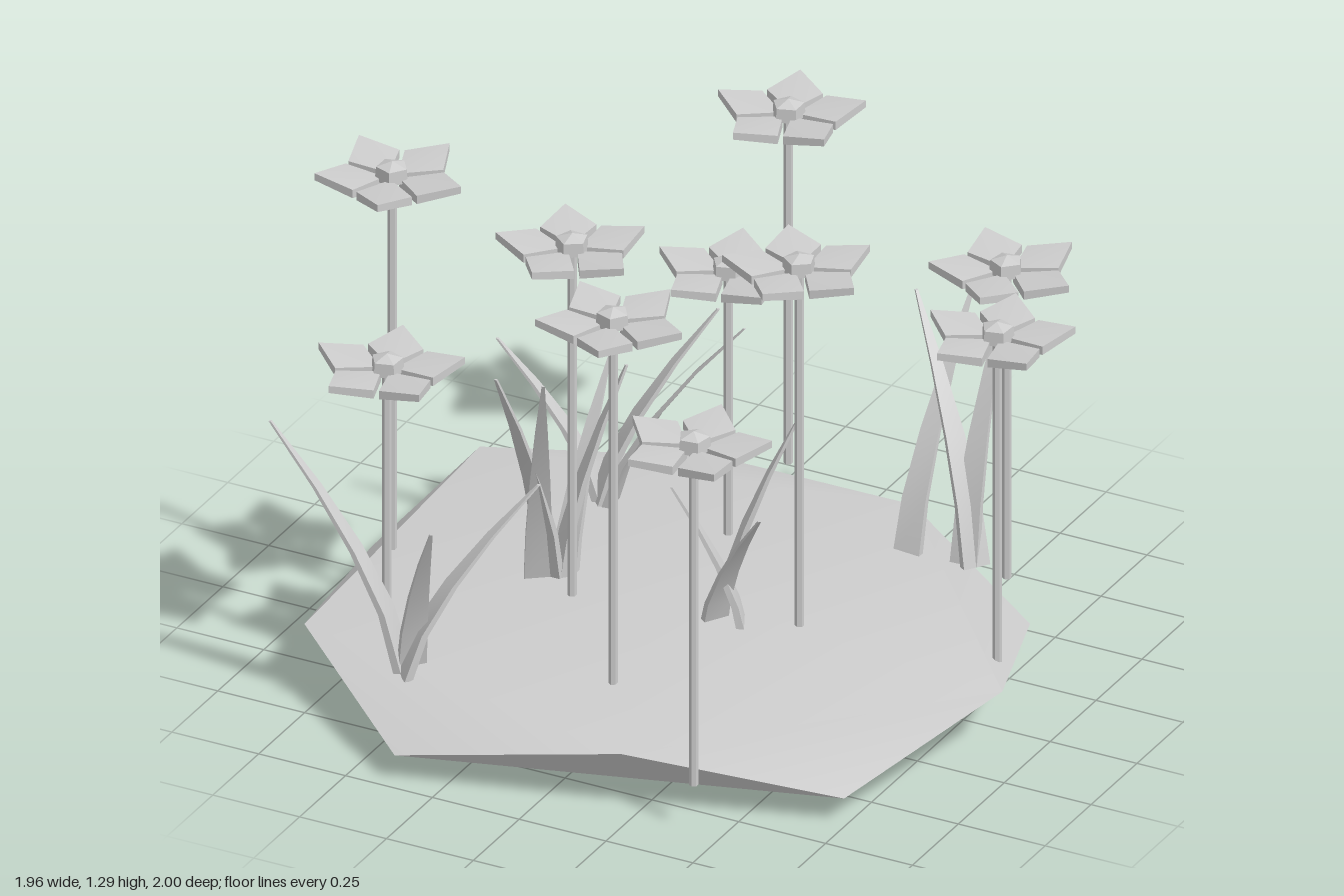
import * as THREE from 'three';
import { toCreasedNormals } from 'three/addons/utils/BufferGeometryUtils.js';
import { ConvexGeometry } from 'three/addons/geometries/ConvexGeometry.js';

const grey = new THREE.MeshStandardMaterial({ color: 0xcccccc });
grey.name = 'grey';

function part(name, geometry, crease = 0.3) {
  const mesh = new THREE.Mesh(toCreasedNormals(geometry, crease), grey);
  mesh.name = name;
  return mesh;
}

// Squashed faceted mound: two staggered rings of five corners and two poles
function mound() {
  const high = [[-0.83, 0.6], [0.21, 0.84], [0.91, 0.09], [0.24, -0.69], [-0.88, -0.45]];
  const low = [[-0.955, 0], [-0.38, 0.96], [0.74, 0.63], [0.72, -0.42], [-0.4, -0.84]];
  const points = [
    new THREE.Vector3(-0.07, 0.22, 0.1), new THREE.Vector3(-0.07, 0, 0.1),
    ...high.map(([x, z]) => new THREE.Vector3(x, 0.165, z)),
    ...low.map(([x, z]) => new THREE.Vector3(x, 0.07, z)),
  ];
  return part('mound', new ConvexGeometry(points), 0.5);
}

// Kite-shaped petal that rises towards its tip
function petalGeometry() {
  const a = THREE.MathUtils.degToRad(33);
  const sx = 0.132 * Math.cos(a), sz = 0.132 * Math.sin(a);
  const outline = [[0.02, 0, 0, 0.028], [sx, sz, 0.01, 0.034], [0.2, 0, 0.03, 0.05], [sx, -sz, 0.01, 0.034]];
  return new ConvexGeometry(outline.flatMap(([x, z, bottom, top]) => [
    new THREE.Vector3(x, bottom, z), new THREE.Vector3(x, top, z),
  ]));
}

// Five petals, a pentagonal centre and a straight stem
function flower([x, z, y, turn]) {
  const group = new THREE.Group();
  group.name = 'flower';
  group.position.set(x, 0, z);
  const head = new THREE.Group();
  head.name = 'flowerHead';
  head.position.y = y;
  head.rotation.y = -THREE.MathUtils.degToRad(turn);
  for (let i = 0; i < 5; i++) {
    const petal = part('petal', petalGeometry());
    petal.rotation.y = (i * Math.PI * 2) / 5;
    head.add(petal);
  }
  const profile = [[0, 0.01], [0.045, 0.02], [0.042, 0.058], [0, 0.072]].map(([r, h]) => new THREE.Vector2(r, h));
  const centre = part('flowerCentre', new THREE.LatheGeometry(profile, 5));
  centre.rotation.y = Math.PI / 2;
  head.add(centre);
  const base = 0.12, length = y + 0.015 - base;
  const stem = part('stem', new THREE.CylinderGeometry(0.012, 0.012, length, 6));
  stem.position.y = base + length / 2;
  group.add(stem, head);
  return group;
}

// Grass blade: a thin box, tapered and bent from its base to its tip
function blade([bx, bz, tx, ty, tz]) {
  const g = new THREE.BoxGeometry(1, 1, 1, 1, 4, 1);
  const p = g.attributes.position;
  const base = 0.15;
  const dx = tx - bx, dz = tz - bz, reach = Math.hypot(dx, dz);
  const ux = dx / reach, uz = dz / reach;
  for (let i = 0; i < p.count; i++) {
    const t = p.getY(i) + 0.5;
    const side = p.getX(i) * 0.075 * (1 - 0.9 * t ** 1.6);
    const depth = p.getZ(i) * 0.022 * (1 - 0.7 * t);
    const lean = reach * t ** 1.5;
    p.setXYZ(i, bx + ux * (lean + depth) + uz * side, base + (ty - base) * t,
      bz + uz * (lean + depth) - ux * side);
  }
  return part('grassBlade', g, 0.5);
}

export function createModel() {
  const model = new THREE.Group();
  model.name = 'flowerPatch';
  model.add(mound());

  // x, z, head height, turn in degrees
  const flowers = [
    [-0.185, -0.815, 1.1, 35], [0.595, -0.53, 0.98, 10], [-0.08, -0.29, 0.92, 37],
    [0.805, -0.08, 1.055, 40], [0.315, 0.07, 1.2, 18], [-0.82, 0.14, 1.215, 1],
    [-0.265, 0.21, 1.18, 21], [-0.64, 0.51, 0.88, 38], [0.03, 0.545, 1.2, 1],
    [0.41, 0.825, 1.07, 47],
  ];
  flowers.forEach((f) => model.add(flower(f)));

  // Base x, base z, then tip x, y, z
  const tufts = [
    [[-0.51, 0.67, -0.87, 0.795, 0.71], [-0.49, 0.7, -0.24, 0.64, 0.44], [-0.49, 0.66, -0.365, 0.63, 0.79]],
    [[-0.46, -0.33, -0.74, 0.595, -0.28], [-0.47, -0.3, -0.225, 0.7, -0.51], [-0.44, -0.31, -0.06, 0.765, -0.34]],
    [[-0.37, 0.12, -0.4, 0.87, 0.37], [-0.4, 0.14, -0.285, 0.86, 0.33],
      [-0.35, 0.1, -0.35, 0.7, -0.155], [-0.36, 0.11, -0.23, 0.77, -0.02]],
    [[0.19, 0.13, 0.02, 0.59, 0.21], [0.1, 0.14, 0.305, 0.59, 0.27], [0.1, 0.11, 0.27, 0.74, 0]],
    [[0.35, -0.45, 0.35, 0.77, -0.81], [0.49, -0.5, 0.475, 0.795, -0.74], [0.52, -0.5, 0.25, 0.79, -0.69]],
  ];
  tufts.forEach((blades) => {
    const tuft = new THREE.Group();
    tuft.name = 'grassTuft';
    blades.forEach((b) => tuft.add(blade(b)));
    model.add(tuft);
  });
  return model;
}
